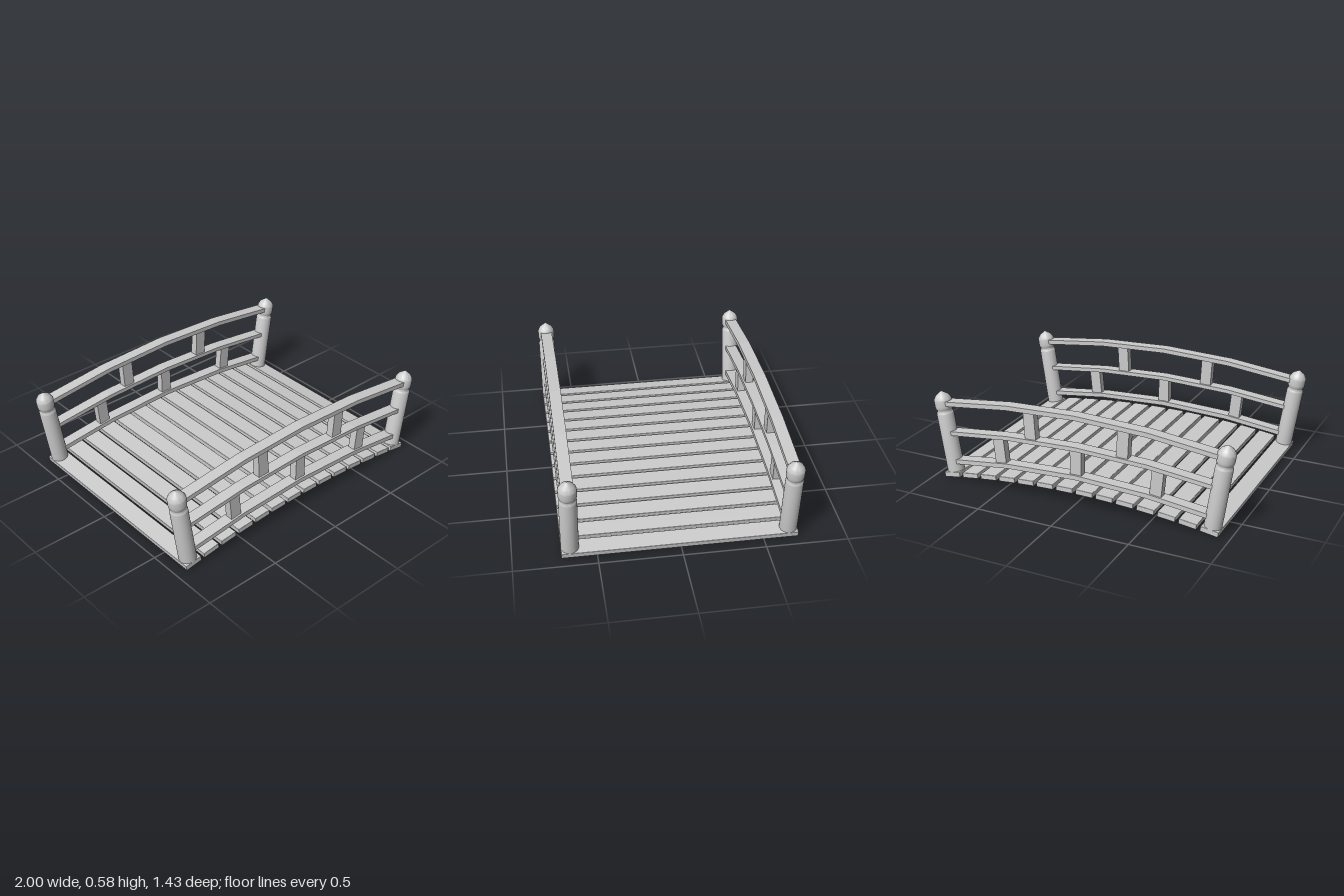
import * as THREE from 'three';
import { toCreasedNormals } from 'three/addons/utils/BufferGeometryUtils.js';
import { RoundedBoxGeometry } from 'three/addons/geometries/RoundedBoxGeometry.js';

const material = new THREE.MeshStandardMaterial({ color: 0xcccccc });
const RAIL_Z = 0.658;

function addMesh(parent, name, geometry, x, y, z, tilt = 0) {
  const mesh = new THREE.Mesh(geometry, material);
  mesh.name = name;
  mesh.position.set(x, y, z);
  mesh.rotation.z = tilt;
  parent.add(mesh);
  return mesh;
}

// The whole bridge follows one shallow arch
const arch = (x) => -0.089 * x * x;
const archTilt = (x) => Math.atan(-0.178 * x);

// Arched rail made of four straight segments, centred on z = 0
function railGeometry(halfLength, crown, drop, thickness) {
  const xs = [-halfLength, -0.47, 0, 0.47, halfLength];
  const height = (x) => crown - drop * (x / halfLength) ** 2;
  const h = thickness / 2;
  const lower = xs.map((x) => new THREE.Vector2(x, height(x) - h));
  const upper = xs.map((x) => new THREE.Vector2(x, height(x) + h)).reverse();
  const shape = new THREE.Shape([...lower, ...upper]);
  const geometry = new THREE.ExtrudeGeometry(shape, { depth: 0.075, bevelEnabled: false });
  return geometry.translate(0, 0, -0.0375);
}

// Turned post with a neck groove and a pointed cap
function postGeometry() {
  const profile = [
    [0, 0], [0.054, 0], [0.054, 0.396], [0.052, 0.406], [0.048, 0.411],
    [0.047, 0.42], [0.05, 0.427], [0.054, 0.436], [0.055, 0.448],
    [0.055, 0.486], [0.053, 0.496], [0.044, 0.51], [0.04, 0.517], [0, 0.545],
  ].map(([r, y]) => new THREE.Vector2(r, y));
  return toCreasedNormals(new THREE.LatheGeometry(profile, 32), 0.6);
}

export function createModel() {
  const bridge = new THREE.Group();
  bridge.name = 'footbridge';

  // Deck planks
  const deck = new THREE.Group();
  deck.name = 'deck';
  bridge.add(deck);
  const plank = new RoundedBoxGeometry(0.114, 0.034, 1.424, 1, 0.004);
  for (let i = 0; i < 14; i++) {
    const x = (i - 6.5) * 0.1345;
    addMesh(deck, 'plank', plank, x, 0.0935 + arch(x), 0, archTilt(x));
  }

  const post = postGeometry();
  const rails = [
    ['lowerRail', railGeometry(0.852, 0.179, 0.066, 0.03)],
    ['middleRail', railGeometry(0.885, 0.365, 0.063, 0.027)],
    ['topRail', railGeometry(0.91, 0.566, 0.07, 0.03)],
  ];
  const lowerBaluster = new THREE.BoxGeometry(0.075, 0.18, 0.05);
  const upperBaluster = new THREE.BoxGeometry(0.075, 0.188, 0.05);

  // The same railing stands on both sides
  for (const side of [-1, 1]) {
    const railing = new THREE.Group();
    railing.name = side > 0 ? 'frontRailing' : 'backRailing';
    railing.position.z = side * RAIL_Z;
    bridge.add(railing);

    for (const [name, geometry] of rails) addMesh(railing, name, geometry, 0, 0, 0);
    for (const end of [-1, 1]) addMesh(railing, 'post', post, end * 0.876, 0.028, 0, -end * 0.145);
    for (const x of [-0.53, 0, 0.53]) {
      addMesh(railing, 'lowerBaluster', lowerBaluster, x, 0.272 + arch(x), 0, archTilt(x));
    }
    for (const x of [-0.312, 0.312]) {
      addMesh(railing, 'upperBaluster', upperBaluster, x, 0.466 + arch(x), 0, archTilt(x));
    }
  }
  return bridge;
}
